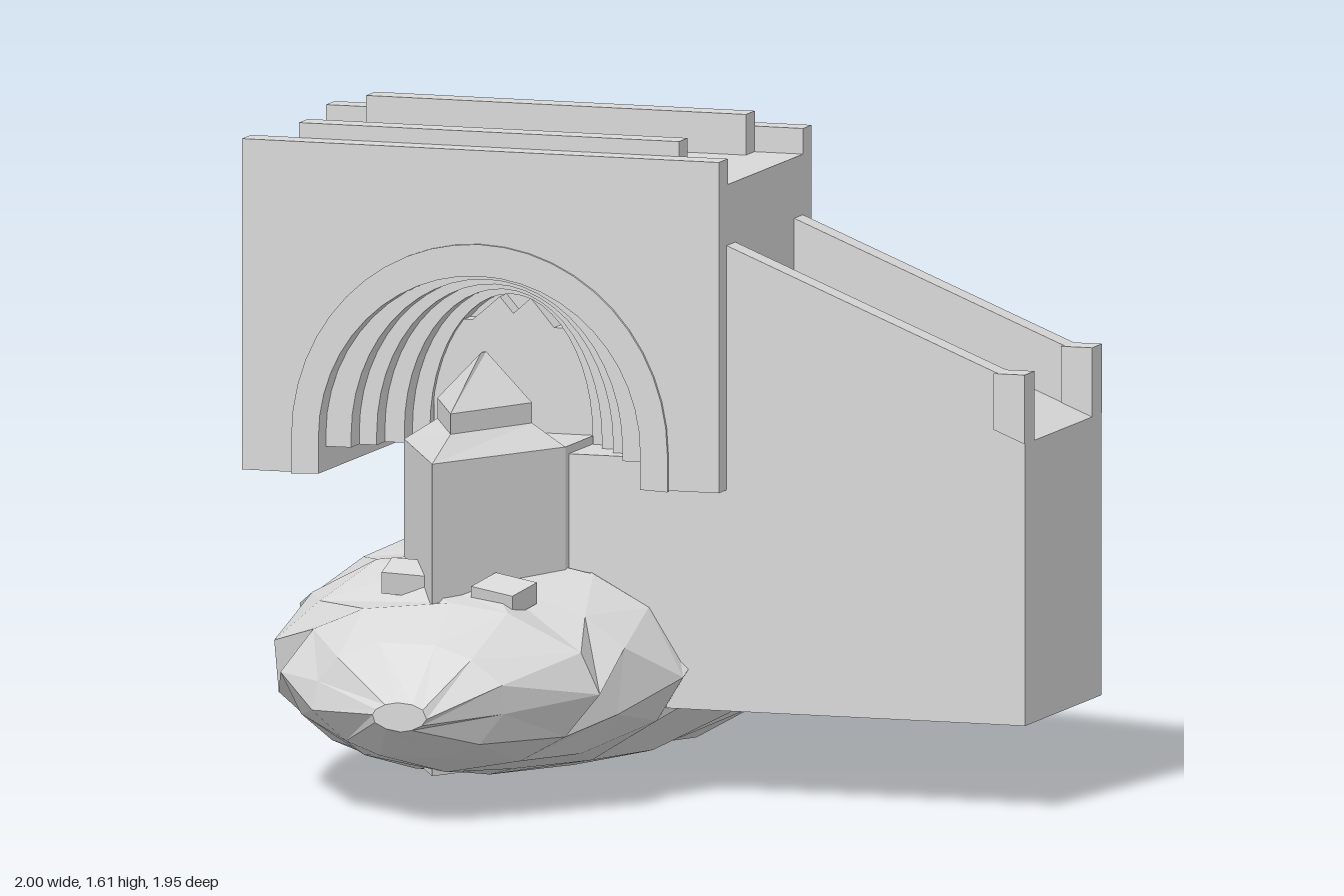
import * as THREE from 'three';

const stone = new THREE.MeshStandardMaterial({ color: 0xd8d8d8, flatShading: true });
stone.name = 'greyStone';
const CX = -0.385; // centre line of arch and pier

function add(parent, name, geometry) {
  const mesh = new THREE.Mesh(geometry, stone);
  mesh.name = name;
  parent.add(mesh);
  return mesh;
}

function box(parent, name, x0, x1, y0, y1, z0, z1) {
  const mesh = add(parent, name, new THREE.BoxGeometry(x1 - x0, y1 - y0, z1 - z0));
  mesh.position.set((x0 + x1) / 2, (y0 + y1) / 2, (z0 + z1) / 2);
}

// side outline pushed through from z0 to z1
function slab(parent, name, points, z0, z1) {
  const shape = new THREE.Shape(points.map(p => new THREE.Vector2(...p)));
  const geometry = new THREE.ExtrudeGeometry(shape, { depth: z1 - z0, bevelEnabled: false });
  geometry.translate(0, 0, z0);
  add(parent, name, geometry);
}

// closed solid through equal-length rings, turned outward by its signed volume
function loft(rings) {
  const n = rings[0].length, tris = [];
  for (let r = 0; r + 1 < rings.length; r++) {
    for (let i = 0; i < n; i++) {
      const j = (i + 1) % n, a = rings[r], b = rings[r + 1];
      tris.push([a[i], a[j], b[j]], [a[i], b[j], b[i]]);
    }
  }
  const first = rings[0], last = rings[rings.length - 1];
  for (let i = 1; i + 1 < n; i++) {
    tris.push([first[0], first[i + 1], first[i]], [last[0], last[i], last[i + 1]]);
  }
  const volume = tris.reduce((s, [a, b, c]) => s + a.dot(b.clone().cross(c)), 0);
  if (volume < 0) tris.forEach(t => t.reverse());
  const geometry = new THREE.BufferGeometry().setFromPoints(tris.flat());
  geometry.computeVertexNormals();
  return geometry;
}

// half-round arch line with short straight legs
function archLine(radius, foot, top) {
  const points = [[CX - radius, foot]];
  for (let i = 0; i <= 24; i++) {
    const a = Math.PI * (1 - i / 24);
    points.push([CX + radius * Math.cos(a), 0.85 + (top - 0.85) * Math.sin(a)]);
  }
  points.push([CX + radius, foot]);
  return points;
}

const archBand = (outer, inner) => [...outer, ...inner.slice().reverse()];

function seeded(seed) {
  return () => {
    seed = (seed * 16807) % 2147483647;
    return seed / 2147483647;
  };
}

// faceted boulder, sections are [z, centre x, half width, bottom, top]
function boulder(parent, name, sections, seed) {
  const random = seeded(seed), n = 12;
  const rings = sections.map(([z, cx, half, bottom, top], s) => {
    const mid = bottom + (top - bottom) * 0.52;
    const end = s === 0 || s === sections.length - 1;
    return Array.from({ length: n }, (_, i) => {
      const a = ((i + (s % 2) * 0.5 + (random() - 0.5) * 0.3) / n) * Math.PI * 2;
      const k = 0.97 + random() * 0.07;
      const rise = Math.sin(a) > 0 ? top - mid : mid - bottom;
      return new THREE.Vector3(
        cx + Math.cos(a) * half * k,
        Math.max(0, mid + Math.sin(a) * rise * k),
        z + (end ? 0 : (random() - 0.5) * 0.05));
    });
  });
  add(parent, name, loft(rings));
}

// pointed prow of the pier, levels are [y, half width, tip z]
function prow(parent, name, baseZ, levels) {
  add(parent, name, loft(levels.map(([y, half, tip]) => [
    new THREE.Vector3(CX - half, y, baseZ),
    new THREE.Vector3(CX, y, tip),
    new THREE.Vector3(CX + half, y, baseZ),
  ])));
}

export function createModel() {
  const model = new THREE.Group();
  model.name = 'ruinedBridge';

  // bridge span with arched passage
  const span = new THREE.Group();
  span.name = 'span';
  model.add(span);
  const opening = archLine(0.415, 0.76, 1.265);
  slab(span, 'archWall', [
    [-1, 0.76], [-1, 1.51], [0.23, 1.51], [0.23, 0.76], ...opening.slice().reverse(),
  ], -0.398, 0.282);
  for (const [z0, z1] of [[0.278, 0.29], [-0.405, -0.394]]) {
    slab(span, 'archRing', archBand(archLine(0.485, 0.757, 1.343), opening), z0, z1);
  }

  // parapets with a raised inner course
  for (const [o0, o1, i0, i1] of [[0.215, 0.282, 0.155, 0.22], [-0.398, -0.335, -0.338, -0.272]]) {
    box(span, 'parapet', -1, 0.23, 1.51, 1.573, o0, o1);
    box(span, 'parapetCourse', -0.875, 0.105, 1.51, 1.61, i0, i1);
  }

  // nested ribs stepping into the vault
  const radii = [0.42, 0.35, 0.305, 0.255, 0.21];
  for (let i = 0; i + 1 < radii.length; i++) {
    const inset = 0.05 + i * 0.06;
    slab(span, 'vaultRib', archBand(
      archLine(radii[i], 0.82, 1.27 - i * 0.02),
      archLine(radii[i + 1], 0.82, 1.25 - i * 0.02)), -0.4 + inset, 0.285 - inset);
  }

  // solid heart of the vault with broken masonry on it
  slab(span, 'vaultHeart', archLine(0.212, 0.82, 1.2), -0.1, -0.01);
  slab(span, 'brokenCore', [
    [-0.59, 0.82], [-0.59, 1.05], [-0.53, 1.12], [-0.49, 1.12], [-0.42, 1.18], [-0.385, 1.14],
    [-0.34, 1.18], [-0.28, 1.11], [-0.23, 1.11], [-0.18, 1.05], [-0.18, 0.82],
  ], -0.15, 0.04);

  // ramp and its sloping parapets
  const ramp = new THREE.Group();
  ramp.name = 'ramp';
  model.add(ramp);
  slab(ramp, 'rampBody', [
    [-0.2, 0.217], [1, 0.217], [1, 0.91], [0.2, 1.23], [0.2, 0.83], [-0.2, 0.83],
  ], -0.335, 0.225);
  for (const [z0, z1] of [[0.16, 0.225], [-0.335, -0.27]]) {
    slab(ramp, 'rampParapet', [[0.22, 1.222], [0.22, 1.365], [0.93, 1.08], [0.93, 0.938]], z0, z1);
    slab(ramp, 'endPost', [
      [0.92, 0.942], [0.92, 1.08], [1, 1.08], [1, 0.91],
    ], z0 - 0.004, z1 + 0.004);
  }

  // pier with pointed ends
  const pier = new THREE.Group();
  pier.name = 'pier';
  model.add(pier);
  box(pier, 'pierBody', CX - 0.208, CX + 0.208, 0.083, 0.85, -0.33, 0.25);
  prow(pier, 'frontProw', 0.25, [[0.083, 0.208, 0.635], [0.85, 0.208, 0.635]]);
  prow(pier, 'frontCap', 0.25, [
    [0.85, 0.208, 0.635], [0.905, 0.122, 0.5], [0.955, 0.122, 0.5], [1.075, 0.004, 0.28],
  ]);
  prow(pier, 'backProw', -0.33, [[0.083, 0.208, -0.75], [0.85, 0.208, -0.75]]);
  prow(pier, 'backCap', -0.33, [[0.85, 0.208, -0.75], [0.955, 0.12, -0.48]]);

  // overhanging rounded stone on the back cap
  const dome = add(pier, 'backDome', new THREE.LatheGeometry([
    new THREE.Vector2(0, 0.88), new THREE.Vector2(0.1, 0.89),
    new THREE.Vector2(0.13, 0.955), new THREE.Vector2(0.07, 1.01), new THREE.Vector2(0, 1.04),
  ], 12));
  dome.position.set(CX, 0, -0.355);

  // rocky islet
  const islet = new THREE.Group();
  islet.name = 'islet';
  model.add(islet);
  boulder(islet, 'mainRock', [
    [0.973, -0.35, 0.07, 0.24, 0.31],
    [0.8, -0.385, 0.25, 0.15, 0.44],
    [0.62, -0.37, 0.4, 0.1, 0.51],
    [0.45, -0.4, 0.46, 0.06, 0.55],
    [0.25, -0.405, 0.52, 0.03, 0.58],
    [0, -0.41, 0.55, 0.01, 0.59],
    [-0.25, -0.41, 0.54, 0, 0.59],
    [-0.5, -0.42, 0.39, 0.05, 0.58],
    [-0.72, -0.45, 0.28, 0.15, 0.5],
    [-0.88, -0.46, 0.17, 0.22, 0.42],
    [-0.945, -0.43, 0.04, 0.29, 0.35],
  ], 41);
  boulder(islet, 'sideRock', [
    [-0.15, -0.15, 0.25, 0.06, 0.5],
    [-0.4, -0.13, 0.285, 0.04, 0.57],
    [-0.6, -0.13, 0.25, 0.08, 0.57],
    [-0.8, -0.16, 0.19, 0.17, 0.46],
    [-0.9, -0.16, 0.14, 0.21, 0.4],
    [-0.975, -0.14, 0.06, 0.26, 0.32],
  ], 97);

  // fallen blocks: x, y, z, turn
  for (const [x, y, z, turn] of [
    [-0.495, 0.545, 0.48, 0.1], [-0.24, 0.52, 0.52, -0.25],
    [-0.6, 0.55, -0.55, 0.6], [-0.09, 0.54, -0.57, -0.5], [-0.52, 0.54, -0.62, 0.9],
  ]) {
    const block = add(islet, 'fallenBlock', new THREE.BoxGeometry(0.12, 0.055, 0.11));
    block.position.set(x, y, z);
    block.rotation.set(z > 0 ? 0.2 : -0.25, turn, -0.08);
  }
  return model;
}
